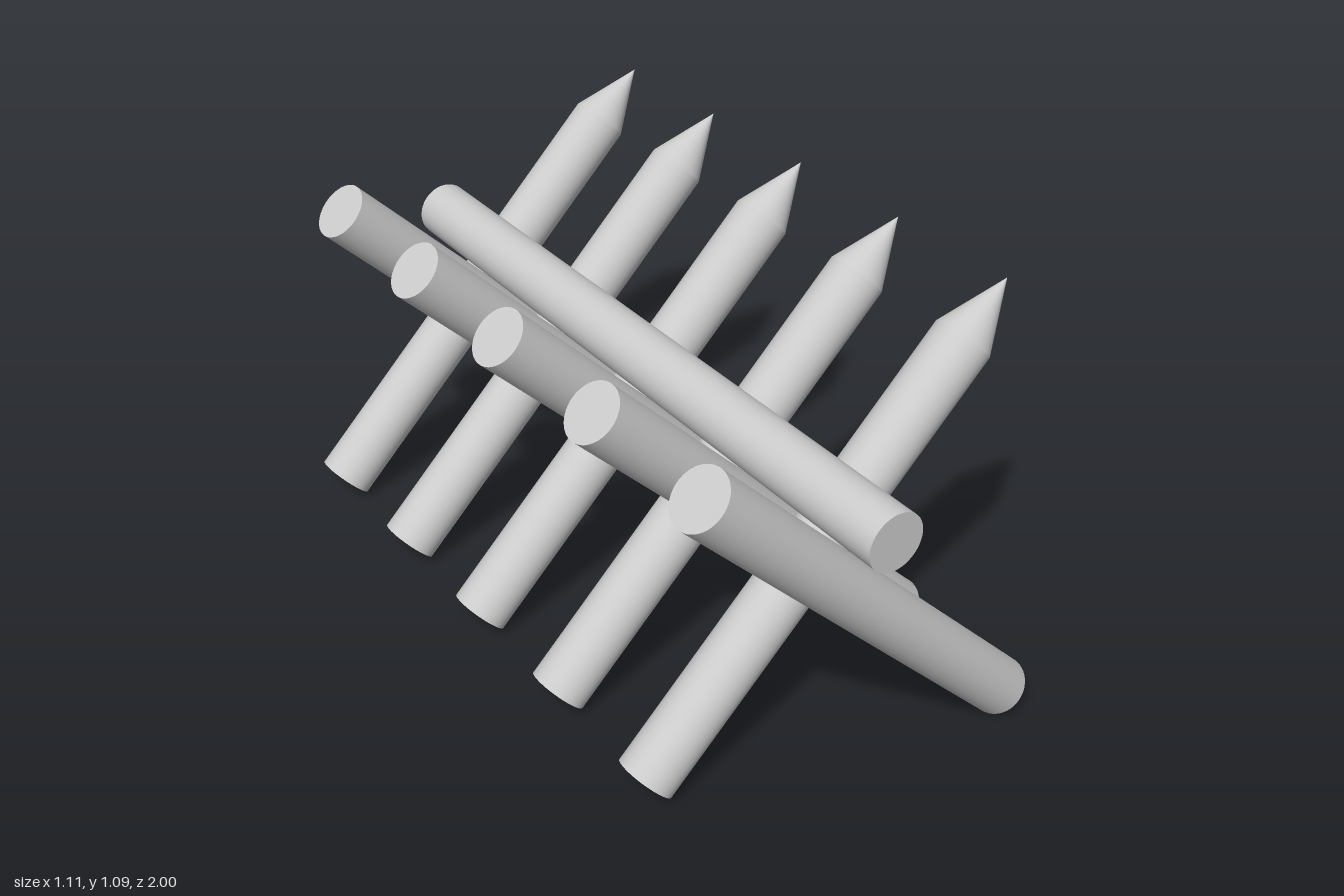
import * as THREE from 'three';

const RADIUS = 0.077;
const SIDES = 48;
const material = new THREE.MeshStandardMaterial({ color: 0xcccccc });

// Log running along local +y from its base
function makeLog(length, name) {
  const geometry = new THREE.CylinderGeometry(RADIUS, RADIUS, length, SIDES);
  geometry.translate(0, length / 2, 0);
  const mesh = new THREE.Mesh(geometry, material);
  mesh.name = name;
  return mesh;
}

// Stake leaning 45 degrees in the xy plane; side is the x direction it leans to
function makeStake(name, baseX, z, side, shaftLength, tipLength) {
  const stake = new THREE.Group();
  stake.name = name;
  stake.add(makeLog(shaftLength, 'shaft'));
  if (tipLength > 0) {
    const cone = new THREE.ConeGeometry(RADIUS, tipLength, SIDES, 1, true);
    cone.translate(0, shaftLength + tipLength / 2, 0);
    const tip = new THREE.Mesh(cone, material);
    tip.name = 'sharpenedTip';
    stake.add(tip);
  }
  stake.position.set(baseX, RADIUS * Math.SQRT1_2, z);
  stake.rotation.z = -side * Math.PI / 4;
  return stake;
}

export function createModel() {
  const model = new THREE.Group();
  model.name = 'stakeBarricade';

  // Alternating rows of crossed stakes
  for (let i = 0; i < 5; i++) {
    model.add(makeStake('bluntStake', 0.447, 0.906 - 0.4 * i, -1, 1.345, 0));
    model.add(makeStake('pointedStake', -0.483, 0.68 - 0.39 * i, 1, 1.29, 0.178));
  }

  // Long log resting in the crotch of the stakes
  const rail = makeLog(2, 'rail');
  rail.rotation.x = Math.PI / 2;
  rail.position.set(-0.035, 0.756, -1);
  model.add(rail);

  return model;
}
